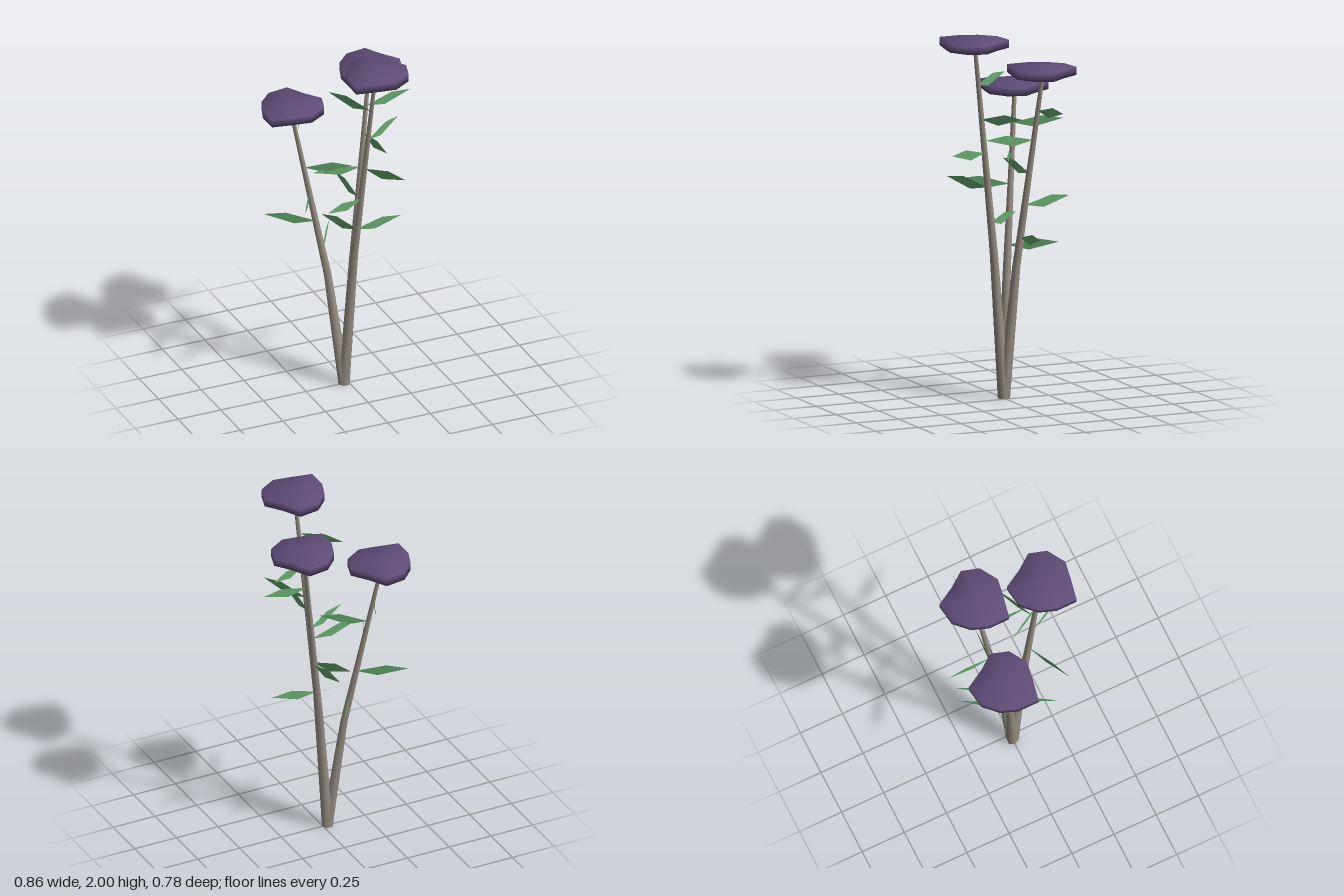
import * as THREE from 'three';

const headMat = new THREE.MeshStandardMaterial({ color: 0x5f4c76 });
headMat.name = 'purple petals';
const stemMat = new THREE.MeshStandardMaterial({ color: 0x9a9186 });
stemMat.name = 'grey brown stem';
const leafMat = new THREE.MeshStandardMaterial({ color: 0x68aa6f, side: THREE.DoubleSide });
leafMat.name = 'green leaf';

// Closed smooth solid through rings of equal point count (each counter-clockwise
// from below to above), closed by a fan to one point at either end.
function loft(rings, bottom, top) {
  const n = rings[0].length;
  const points = [...rings.flat(), bottom, top];
  const index = [];
  const b = rings.length * n, t = b + 1, last = b - n;
  for (let i = 0; i < n; i++) {
    const j = (i + 1) % n;
    for (let r = 0; r < rings.length - 1; r++) {
      const o = r * n, u = o + n;
      index.push(o + i, u + i, o + j, u + i, u + j, o + j);
    }
    index.push(b, o0(i), o0(j), t, last + j, last + i);
  }
  function o0(k) { return k; }
  const g = new THREE.BufferGeometry();
  g.setAttribute('position', new THREE.Float32BufferAttribute(points.flat(), 3));
  g.setIndex(index);
  g.computeVertexNormals();
  return g;
}

// Irregular ten-sided head outline (x, z) around the stem tip
const outline = [
  [0.055, -0.173], [0.112, -0.073], [0.175, 0.012], [0.145, 0.109], [0.047, 0.169],
  [-0.043, 0.155], [-0.17, 0.13], [-0.17, 0.012], [-0.135, -0.081], [-0.06, -0.156],
];

function headGeometry() {
  const ring = (y) => outline.map(([x, z]) => [x, y, z]);
  return loft([ring(-0.022), ring(0.022)], [0, -0.044, 0], [0, 0.044, 0]);
}

// Tapered six-sided stem bending once on its way up
function stemGeometry(path) {
  const rings = path.map(([x, y, z, r]) => Array.from({ length: 6 }, (_, i) => {
    const a = (i / 6) * Math.PI * 2;
    return [x + Math.cos(a) * r, y, z + Math.sin(a) * r];
  }));
  return loft(rings, path[0].slice(0, 3), path[path.length - 1].slice(0, 3));
}

// Upright diamond blade from its base to its tip
function leafGeometry([bx, by, bz], [tx, ty, tz]) {
  const at = (f, dy) => [bx + (tx - bx) * f, by + (ty - by) * f + dy, bz + (tz - bz) * f];
  const g = new THREE.BufferGeometry();
  const pts = [at(0, 0), at(0.42, -0.033), at(1, 0), at(0.58, 0.025)];
  g.setAttribute('position', new THREE.Float32BufferAttribute(pts.flat(), 3));
  g.setIndex([0, 1, 2, 0, 2, 3]);
  g.computeVertexNormals();
  return g;
}

// Each flower: stem bend, head centre, and leaves as base and tip
const flowers = [
  {
    name: 'rightFlower', bend: [-0.1, 0.65, -0.05], head: [-0.26, 1.641, -0.172],
    leaves: [
      [[-0.232, 1.45, -0.145], [-0.115, 1.475, -0.39]],
      [[-0.205, 1.285, -0.125], [0.02, 1.31, 0.005]],
      [[-0.18, 1.13, -0.105], [-0.317, 1.155, 0.134]],
      [[-0.15, 0.97, -0.085], [-0.395, 0.995, -0.23]],
      [[-0.125, 0.81, -0.065], [0.024, 0.835, -0.30]],
    ],
  },
  {
    name: 'leftFlower', bend: [0.042, 0.72, -0.04], head: [0.179, 1.801, -0.132],
    leaves: [
      [[0.155, 1.585, -0.115], [0.425, 1.615, -0.138]],
      [[0.135, 1.425, -0.1], [0.14, 1.445, 0.185]],
      [[0.11, 1.24, -0.085], [-0.18, 1.275, -0.065]],
      [[0.09, 1.065, -0.07], [0.073, 1.095, -0.34]],
      [[0.066, 0.885, -0.055], [0.33, 0.915, -0.05]],
    ],
  },
  {
    name: 'frontFlower', bend: [0.0, 0.8, 0.072], head: [0.06, 1.956, 0.21],
    leaves: [
      [[0.04, 1.73, 0.19], [-0.1, 1.76, -0.04]],
      [[0.037, 1.54, 0.165], [0.275, 1.57, 0.034]],
      [[0.03, 1.355, 0.14], [0.155, 1.38, 0.39]],
      [[0.02, 1.165, 0.12], [-0.232, 1.19, 0.239]],
      [[0.01, 0.97, 0.095], [-0.11, 0.99, -0.11]],
    ],
  },
];

export function createModel() {
  const model = new THREE.Group();
  model.name = 'flowerBunch';
  const headGeo = headGeometry();

  for (const { name, bend, head, leaves } of flowers) {
    const flower = new THREE.Group();
    flower.name = name;
    const add = (geo, mat, part) => {
      const mesh = new THREE.Mesh(geo, mat);
      mesh.name = part;
      flower.add(mesh);
      return mesh;
    };

    // Stem from the shared foot to just inside the head
    const [hx, hy, hz] = head;
    const path = [[-0.027, 0, 0, 0.033], [...bend, 0.022], [hx, hy - 0.02, hz, 0.011]];
    add(stemGeometry(path), stemMat, 'stem');

    add(headGeo, headMat, 'flowerHead').position.set(hx, hy, hz);
    leaves.forEach(([base, tip], i) => add(leafGeometry(base, tip), leafMat, `leaf${i + 1}`));
    model.add(flower);
  }
  return model;
}
